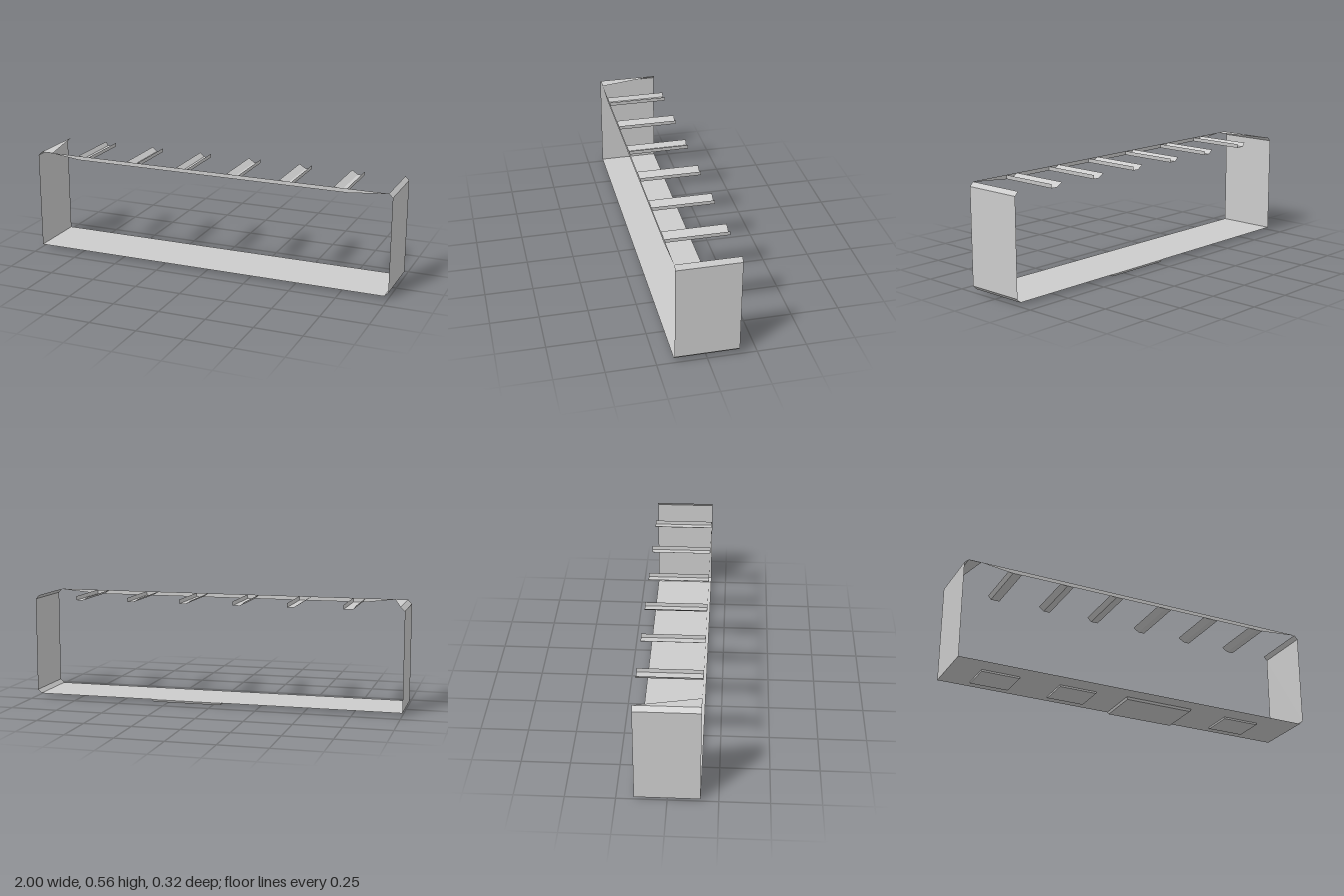
import * as THREE from 'three';

const D = 0.162; // half depth
const FLOOR = 0.013, LOW = 0.535, TOP = 0.556;

const material = new THREE.MeshStandardMaterial({
  color: 0xcccccc, flatShading: true, side: THREE.DoubleSide,
});

function part(name, geometry) {
  const mesh = new THREE.Mesh(geometry, material);
  mesh.name = name;
  return mesh;
}

// Thin folded sheet: an open x/y profile drawn out along z
function foldedSheet(profile) {
  const pos = [];
  for (let i = 0; i < profile.length - 1; i++) {
    const [ax, ay] = profile[i], [bx, by] = profile[i + 1];
    pos.push(ax, ay, D, bx, by, D, bx, by, -D);
    pos.push(ax, ay, D, bx, by, -D, ax, ay, -D);
  }
  const g = new THREE.BufferGeometry();
  g.setAttribute('position', new THREE.Float32BufferAttribute(pos, 3));
  g.computeVertexNormals();
  return g;
}

function flatShape(points) {
  return new THREE.ShapeGeometry(new THREE.Shape(points.map(([x, y]) => new THREE.Vector2(x, y))));
}

// Shallow pad below the floor, its lower face drawn in by a bevel
function pad(x0, x1, z0, z1, bottom, bevel) {
  const w = x1 - x0, d = z1 - z0, h = FLOOR - 0.001 - bottom;
  const g = new THREE.BoxGeometry(w, h, d);
  const p = g.attributes.position;
  for (let i = 0; i < p.count; i++) {
    if (p.getY(i) < 0) {
      p.setX(i, p.getX(i) * (1 - 2 * bevel / w));
      p.setZ(i, p.getZ(i) * (1 - 2 * bevel / d));
    }
  }
  g.translate((x0 + x1) / 2, bottom + h / 2, (z0 + z1) / 2);
  g.computeVertexNormals();
  return g;
}

export function createModel() {
  const model = new THREE.Group();
  model.name = 'openFrame';

  // Floor and end walls with their folded corners
  model.add(part('floor', foldedSheet([[-1, FLOOR], [0.98, FLOOR]])));
  model.add(part('rightWall', foldedSheet([[-1, FLOOR], [-1, LOW], [-0.978, TOP]])));
  model.add(part('leftWall', foldedSheet([[0.98, FLOOR], [1, 0.033], [1, LOW], [0.98, TOP]])));

  // Tapered flange on top of the right wall
  const flange = flatShape([[-0.978, -D], [-0.91, -D], [-0.978, D]]);
  flange.rotateX(-Math.PI / 2);
  flange.translate(0, TOP, 0);
  model.add(part('cornerFlange', flange));

  // Front beam, thinning out toward both ends
  const beam = flatShape([[-0.98, TOP - 0.001], [-0.91, TOP - 0.002], [-0.75, LOW],
    [0.77, LOW], [0.98, TOP - 0.002], [0.98, TOP], [-0.978, TOP]]);
  beam.translate(0, 0, D);
  model.add(part('frontBeam', beam));

  // Roof ribs: channels with one sloping side; [outer edge, bottom start, bottom end]
  const ribs = new THREE.Group();
  ribs.name = 'roofRibs';
  [[-0.753, -0.738, -0.69], [-0.46, -0.432, -0.397], [-0.17, -0.147, -0.108],
    [0.116, 0.148, 0.182], [0.405, 0.44, 0.472], [0.695, 0.728, 0.763]].forEach(([a, b, c], i) => {
    ribs.add(part(`rib${i + 1}`, foldedSheet([[a, TOP], [b, LOW], [c, LOW], [c + 0.002, TOP]])));
  });
  model.add(ribs);

  // Pads under the floor
  const pads = new THREE.Group();
  pads.name = 'floorPads';
  [[-0.845, -0.64], [-0.42, -0.215], [0.555, 0.76]].forEach(([a, b], i) => {
    pads.add(part(`smallPad${i + 1}`, pad(a, b, -0.065, 0.105, 0.003, 0.001)));
  });
  pads.children.forEach((m) => m.geometry.translate(0, 0, -0.04));
  pads.add(part('largePad', pad(-0.045, 0.34, -0.161, 0.079, 0, 0.006)));
  model.add(pads);

  return model;
}
